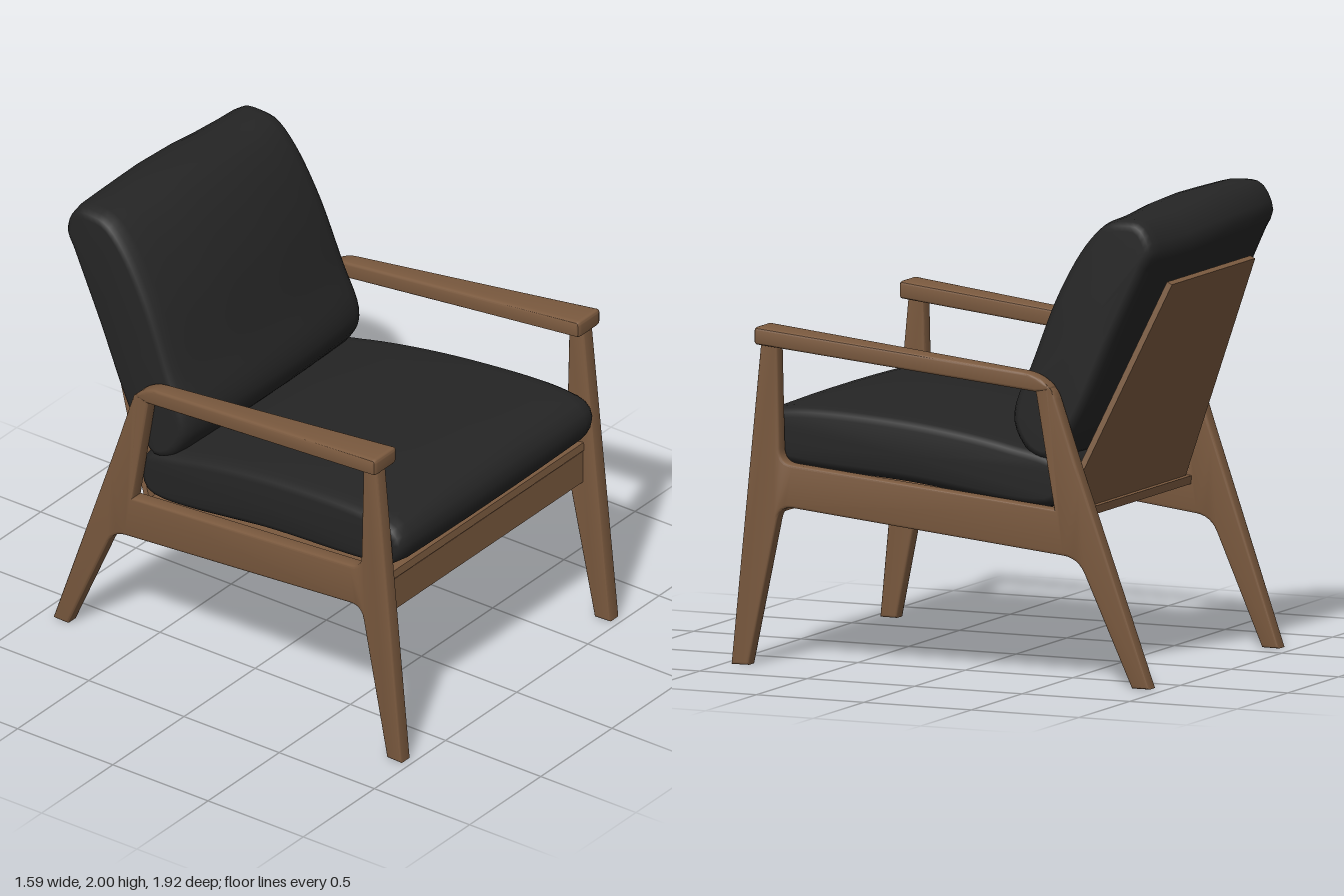
import * as THREE from 'three';
import { toCreasedNormals } from 'three/addons/utils/BufferGeometryUtils.js';

const wood = new THREE.MeshStandardMaterial({ color: 0x7b5a3f });
wood.name = 'walnut wood';
const fabric = new THREE.MeshStandardMaterial({ color: 0x252525 });
fabric.name = 'black fabric';

function mesh(name, geometry, material) {
  const m = new THREE.Mesh(geometry, material);
  m.name = name;
  return m;
}

// Closed path through [z, y, cornerRadius] points; z is negated so rotateY restores it
function roundedPath(points, path) {
  const v = points.map(([z, y]) => new THREE.Vector2(-z, y));
  const n = v.length;
  points.forEach(([, , r = 0], i) => {
    const p = v[i];
    const toward = (q) => q.clone().sub(p).setLength(r).add(p);
    const a = r ? toward(v[(i + n - 1) % n]) : p;
    const b = r ? toward(v[(i + 1) % n]) : p;
    if (i === 0) path.moveTo(a.x, a.y);
    else path.lineTo(a.x, a.y);
    if (r) path.quadraticCurveTo(p.x, p.y, b.x, b.y);
  });
  path.closePath();
  return path;
}

// Side profile extruded across x, then splayed by centre(z) and widened by half(z)
function sidePiece(shape, side, centre, half, bevel) {
  const g = new THREE.ExtrudeGeometry(shape, {
    depth: 2 - 2 * 0.3, bevelEnabled: true, bevelThickness: 0.3,
    bevelSize: bevel, bevelOffset: -bevel, bevelSegments: 3, curveSegments: 6,
  });
  g.translate(0, 0, -(1 - 0.3));
  g.rotateY(Math.PI / 2);
  const p = g.attributes.position;
  for (let i = 0; i < p.count; i++) {
    const z = p.getZ(i);
    p.setX(i, side * centre(z) + p.getX(i) * half(z));
  }
  return toCreasedNormals(g, 0.6);
}

// Flat board between two ends, each given as { half, y, z }
function board(a, b, thickness) {
  const dy = a.y - b.y, dz = a.z - b.z, length = Math.hypot(dy, dz);
  const g = new THREE.BoxGeometry(2, thickness, length);
  const p = g.attributes.position;
  for (let i = 0; i < p.count; i++) {
    p.setX(i, p.getX(i) * (p.getZ(i) > 0 ? a.half : b.half));
  }
  g.rotateX(Math.atan2(-dy, dz));
  g.translate(0, (a.y + b.y) / 2, (a.z + b.z) / 2);
  g.computeVertexNormals();
  return g;
}

// Soft cushion: a closed [z, y] profile lofted across x, inset at the ends
function cushion(profile, warp) {
  const curve = new THREE.CatmullRomCurve3(
    profile.map(([z, y]) => new THREE.Vector3(0, y, z)), true);
  const N = 64;
  const ends = [[1, 0.045], [0.985, 0.022], [0.95, 0.006], [0.88, 0], [0.7, 0], [0.45, 0], [0.2, 0]];
  const stations = [
    ...ends.map(([u, d]) => [-u, d]),
    ...ends.slice().reverse(),
  ];
  const pos = [], index = [], centre = new THREE.Vector3();
  const pts = curve.getSpacedPoints(N).slice(0, N);
  pts.forEach((p) => centre.addScaledVector(p, 1 / N));
  for (const [u, d] of stations) {
    pts.forEach((p, j) => {
      const t = pts[(j + 1) % N].clone().sub(pts[(j + N - 1) % N]).normalize();
      pos.push(...warp(u, p.y - t.z * d, p.z + t.y * d));
    });
  }
  const last = stations.length - 1;
  for (let s = 0; s < last; s++) {
    for (let j = 0; j < N; j++) {
      const k = (j + 1) % N;
      const a = s * N + j, b = s * N + k, c = a + N, e = b + N;
      index.push(a, b, c, b, e, c);
    }
  }
  const left = stations.length * N;
  pos.push(...warp(-1.005, centre.y, centre.z), ...warp(1.005, centre.y, centre.z));
  for (let j = 0; j < N; j++) {
    const k = (j + 1) % N;
    index.push(left, k, j, left + 1, last * N + j, last * N + k);
  }
  const g = new THREE.BufferGeometry();
  g.setAttribute('position', new THREE.Float32BufferAttribute(pos, 3));
  g.setIndex(index);
  g.computeVertexNormals();
  return g;
}

export function createModel() {
  const chair = new THREE.Group();
  chair.name = 'armchair';

  // Side frames: front leg, rail, raked back leg and post around one opening
  const frame = roundedPath([
    [0.965, 0], [0.828, 1.40], [-0.43, 1.303, 0.07], [-0.50, 1.24, 0.03], [-0.594, 0.96, 0.1],
    [-0.935, 0], [-0.855, 0], [-0.61, 0.54, 0.07], [0.745, 0.685, 0.06], [0.886, 0],
  ], new THREE.Shape());
  frame.holes.push(roundedPath([
    [0.757, 1.37], [0.745, 0.868, 0.06], [-0.502, 0.742], [-0.415, 1.255, 0.03],
  ], new THREE.Path()));

  // Armrest: wide at the front, tapering into the back post
  const arm = roundedPath([
    [0.848, 1.447, 0.02], [-0.43, 1.312, 0.07], [-0.492, 1.25, 0.02], [-0.42, 1.238, 0.012],
    [0.75, 1.36], [0.848, 1.37, 0.015],
  ], new THREE.Shape());

  for (const side of [1, -1]) {
    const sideName = side > 0 ? 'left' : 'right';
    chair.add(mesh(sideName + 'SideFrame', sidePiece(frame, side,
      (z) => 0.638 + (z + 0.93) * 0.0503, () => 0.034, 0.012), wood));
    chair.add(mesh(sideName + 'Armrest', sidePiece(arm, side,
      (z) => 0.682 + z * 0.04, (z) => 0.051 + z * 0.033, 0.012), wood));
  }

  // Front apron, seat board and tapered back board
  const apron = new THREE.BoxGeometry(1.4, 0.15, 0.04);
  apron.translate(0, 0.715, 0.81);
  chair.add(mesh('frontApron', apron, wood));
  chair.add(mesh('seatBoard', board(
    { half: 0.695, y: 0.816, z: 0.835 }, { half: 0.63, y: 0.69, z: -0.52 }, 0.036), wood));
  chair.add(mesh('backBoard', board(
    { half: 0.61, y: 0.70, z: -0.485 }, { half: 0.41, y: 1.692, z: -0.907 }, 0.026), wood));

  // Seat cushion, narrowing between the splayed frames
  chair.add(mesh('seatCushion', cushion([
    [-0.5, 0.93], [-0.26, 1.01], [0.24, 1.09], [0.75, 1.105], [0.87, 1.07], [0.91, 1.0],
    [0.875, 0.89], [0.78, 0.845], [0.2, 0.79], [-0.45, 0.725], [-0.51, 0.78],
  ], (u, y, z) => {
    const mid = 0.91 + z * 0.09;
    return [u * (0.653 + 0.042 * z), mid + (y - mid) * (1 - 0.1 * u * u), z];
  }), fabric));

  // Back cushion, leaning on the board, slightly slumped on its left
  chair.add(mesh('backCushion', cushion([
    [-0.96, 1.87], [-0.88, 1.985], [-0.76, 2.0], [-0.66, 1.98], [-0.55, 1.88], [-0.42, 1.66],
    [-0.3, 1.34], [-0.235, 1.18], [-0.235, 1.09], [-0.31, 0.985], [-0.39, 0.94],
    [-0.47, 0.935], [-0.6, 1.08], [-0.79, 1.5], [-0.92, 1.78],
  ], (u, y, z) => {
    const h = (y - 0.95) / 1.05;
    const mid = -0.37 - (y - 0.98) * 0.47;
    const x = u * (0.635 - 0.04 * h) - 0.015 * h;
    return [x, y - 0.03 * h * Math.min(1, Math.max(0, u * 1.8)),
      mid + (z - mid) * (1 - 0.22 * u * u) + 0.02 * h * Math.max(0, u)];
  }), fabric));

  return chair;
}
